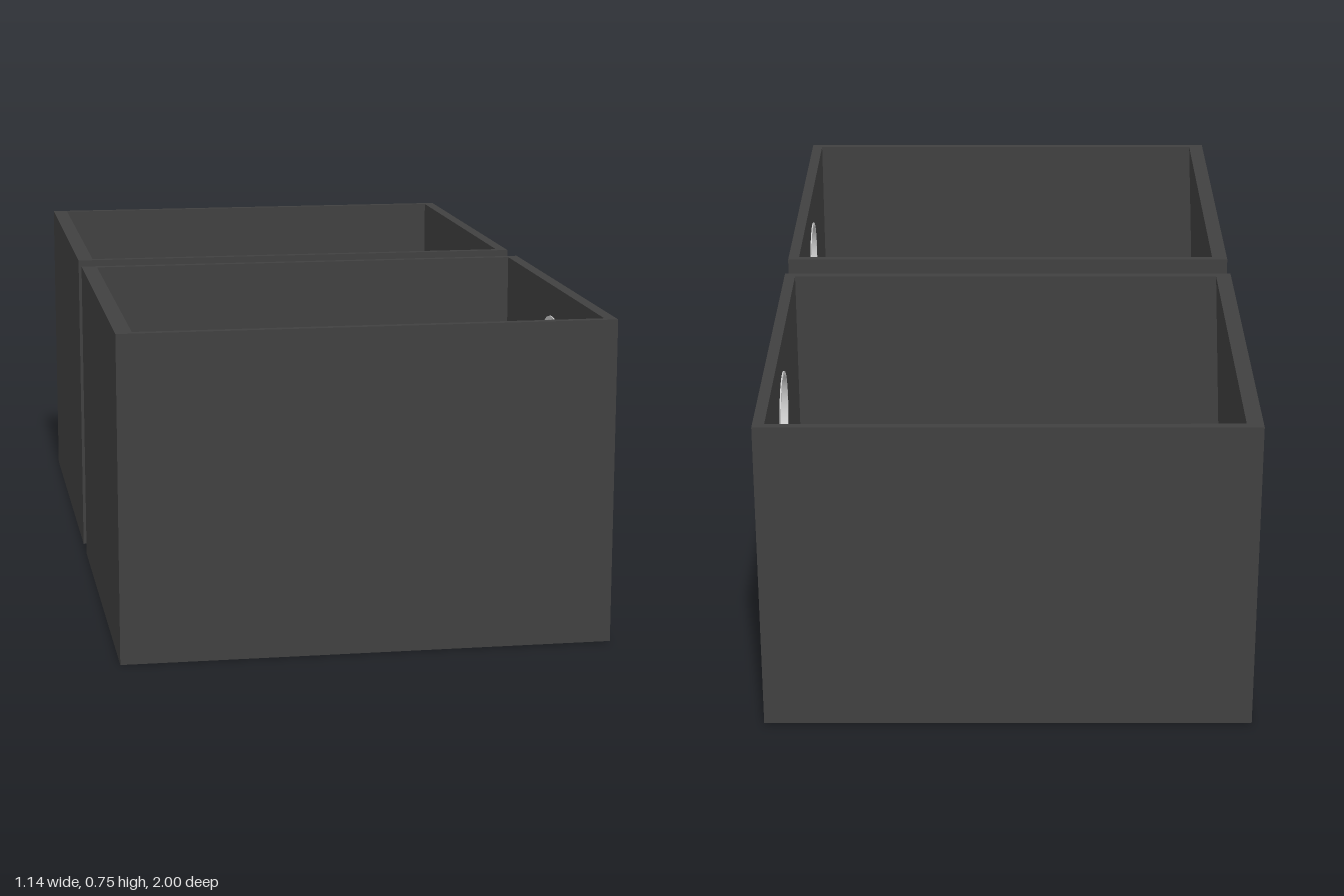
import * as THREE from 'three';

const HALF_X = 0.567, HEIGHT = 0.755, WIDTH = 0.95, SPACING = 0.525;
const END_WALL = 0.027, SIDE_WALL = 0.02, FLOOR = 0.025;
const HOLE_Y = 0.57, HOLE_R = 0.105;

const dark = new THREE.MeshStandardMaterial({ color: 0x404040 });
const grey = new THREE.MeshStandardMaterial({ color: 0xcccccc });

function add(parent, name, geometry, material, x = 0, y = 0, z = 0) {
  const mesh = new THREE.Mesh(geometry, material);
  mesh.name = name;
  mesh.position.set(x, y, z);
  parent.add(mesh);
  return mesh;
}

function createBin() {
  const bin = new THREE.Group();
  const inner = WIDTH - 2 * SIDE_WALL;

  // floor and the two long walls
  add(bin, 'floor', new THREE.BoxGeometry(2 * HALF_X, FLOOR, WIDTH), dark, 0, FLOOR / 2, 0);
  for (const s of [-1, 1]) {
    add(bin, s > 0 ? 'frontWall' : 'backWall',
      new THREE.BoxGeometry(2 * HALF_X, HEIGHT - FLOOR, SIDE_WALL), dark,
      0, (HEIGHT + FLOOR) / 2, s * (WIDTH - SIDE_WALL) / 2);
  }

  // end wall with a round finger hole
  const wall = new THREE.Shape([
    new THREE.Vector2(-inner / 2, FLOOR), new THREE.Vector2(inner / 2, FLOOR),
    new THREE.Vector2(inner / 2, HEIGHT), new THREE.Vector2(-inner / 2, HEIGHT),
  ]);
  wall.holes.push(new THREE.Path().absarc(0, HOLE_Y, HOLE_R, 0, Math.PI * 2, true));
  const holed = new THREE.ExtrudeGeometry(wall, { depth: END_WALL, bevelEnabled: false, curveSegments: 32 });
  holed.rotateY(Math.PI / 2);
  add(bin, 'holedEndWall', holed, dark, HALF_X - END_WALL);

  // plain end wall, thicker towards the rim
  const taper = new THREE.Shape([
    new THREE.Vector2(-HALF_X, FLOOR), new THREE.Vector2(-HALF_X + 0.004, FLOOR),
    new THREE.Vector2(-HALF_X + 0.038, HEIGHT), new THREE.Vector2(-HALF_X, HEIGHT),
  ]);
  add(bin, 'taperedEndWall',
    new THREE.ExtrudeGeometry(taper, { depth: inner, bevelEnabled: false }), dark, 0, 0, -inner / 2);

  // metal grommet lining the hole
  const r0 = 0.1, r1 = 0.109, x0 = HALF_X - END_WALL - 0.003, x1 = HALF_X + 0.003;
  const section = [[r0, x0], [r1, x0], [r1, x1], [r0, x1], [r0, x0]];
  // separate bands keep the corners sharp
  const grommet = new THREE.Group();
  grommet.name = 'grommet';
  for (let i = 0; i < 4; i++) {
    const band = new THREE.LatheGeometry(
      [section[i], section[i + 1]].map(([r, h]) => new THREE.Vector2(r, h)), 48);
    band.rotateZ(-Math.PI / 2);
    add(grommet, 'grommetBand', band, grey);
  }
  grommet.position.y = HOLE_Y;
  bin.add(grommet);
  return bin;
}

export function createModel() {
  const model = new THREE.Group();
  model.name = 'storageBins';
  for (const s of [1, -1]) {
    const bin = createBin();
    bin.name = s > 0 ? 'frontBin' : 'backBin';
    bin.position.z = s * SPACING;
    model.add(bin);
  }
  return model;
}
